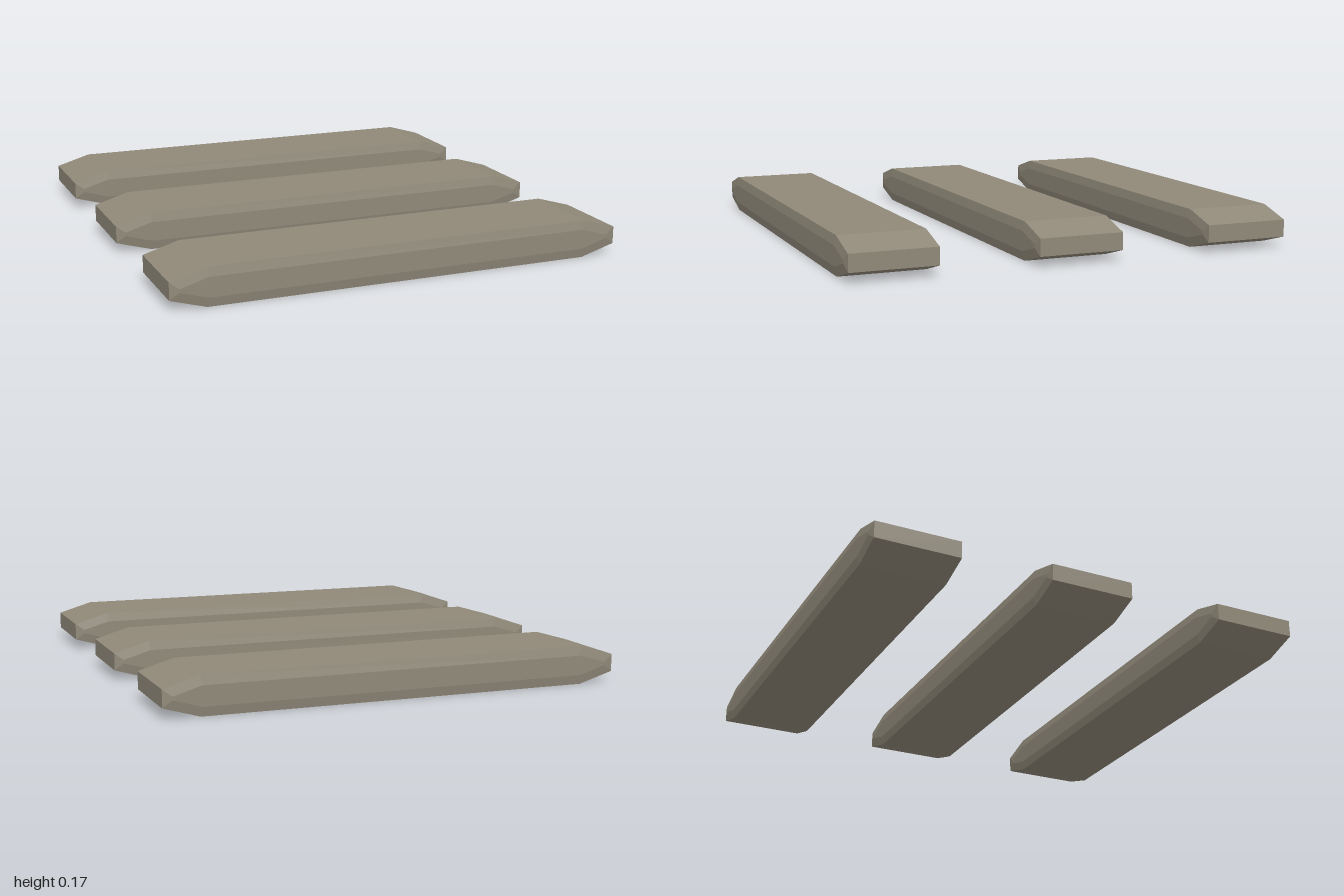
import * as THREE from 'three';

export function createModel() {
  const model = new THREE.Group();
  const wood = new THREE.MeshStandardMaterial({ color: 0x908979 });
  wood.name = 'weathered wood';

  // Plank side profile with tapered ends, inset by the bevel width
  const outline = [
    [-0.84, 0.04], [0.84, 0.04], [0.96, 0.075], [0.96, 0.09],
    [0.84, 0.125], [-0.84, 0.125], [-0.96, 0.09], [-0.96, 0.075],
  ];
  const profile = new THREE.Shape(outline.map(([x, y]) => new THREE.Vector2(x, y)));

  // Shallow bevel makes the long sides bulge slightly
  const width = 0.39, bulge = 0.008;
  const geometry = new THREE.ExtrudeGeometry(profile, {
    depth: width - 2 * bulge,
    bevelEnabled: true,
    bevelSegments: 1,
    bevelSize: 0.04,
    bevelThickness: bulge,
  });
  geometry.translate(0, 0, -(width / 2 - bulge));
  geometry.computeBoundingBox();
  geometry.translate(0, -geometry.boundingBox.min.y, 0);

  // Three parallel planks, the middle one a little off centre
  const planks = { backPlank: -0.795, middlePlank: -0.013, frontPlank: 0.792 };
  for (const [name, z] of Object.entries(planks)) {
    const plank = new THREE.Mesh(geometry, wood);
    plank.name = name;
    plank.position.z = z;
    model.add(plank);
  }
  return model;
}
